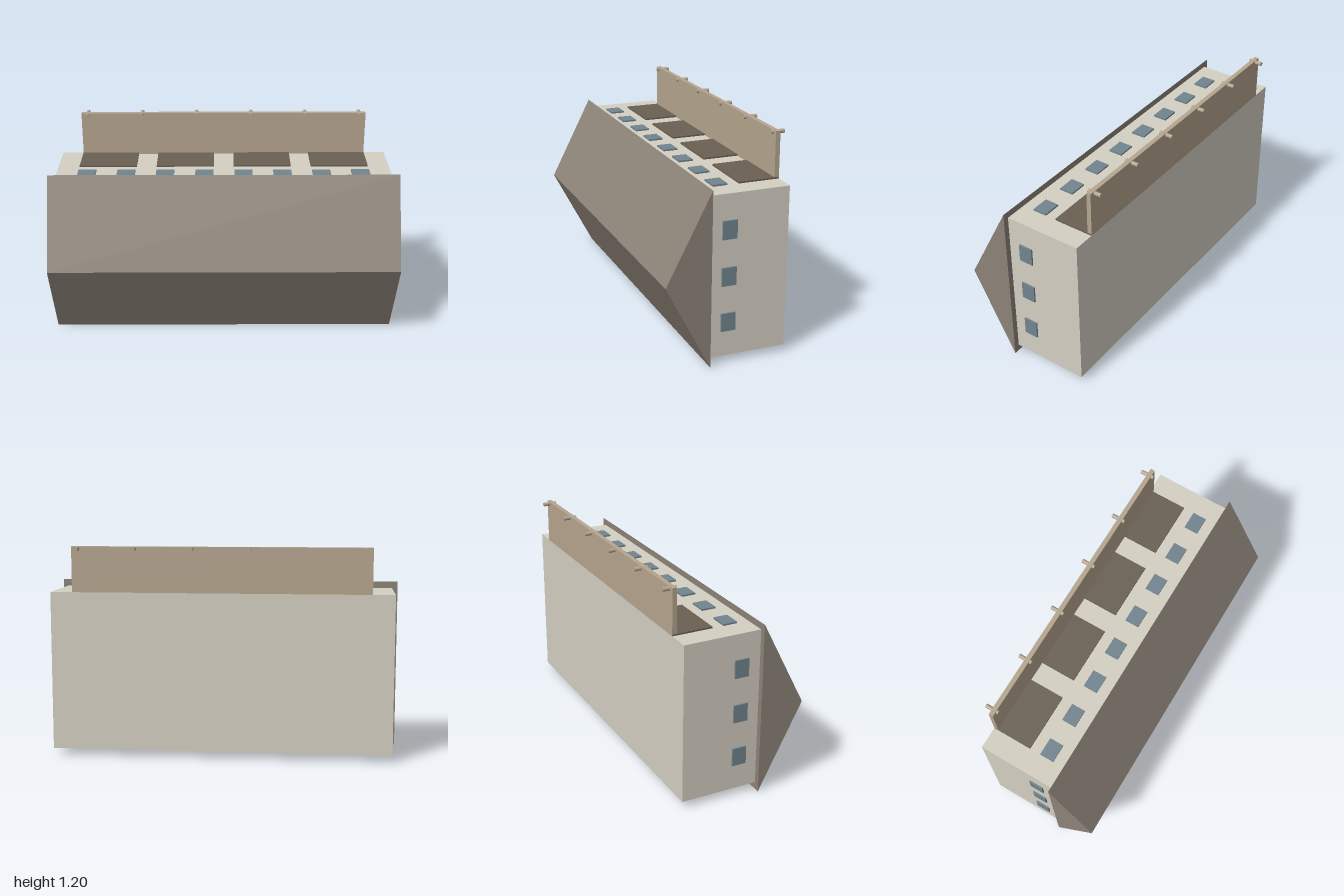
import * as THREE from 'three';

const mat = (name, color) => {
  const m = new THREE.MeshStandardMaterial({ color });
  m.name = name;
  return m;
};

export function createModel() {
  const wall = mat('wall plaster', 0xd4cfc2);
  const roofing = mat('roof brown', 0x8d8378);
  const glass = mat('window blue grey', 0x71848e);
  const doorMat = mat('door dark brown', 0x6a6153);
  const timber = mat('canopy tan', 0xb5a58e);

  const model = new THREE.Group();
  model.name = 'building';

  const add = (name, geometry, material) => {
    const mesh = new THREE.Mesh(geometry, material);
    mesh.name = name;
    model.add(mesh);
    return mesh;
  };

  // Box given by its minimum and maximum along each axis
  const box = (name, material, [x0, x1], [y0, y1], [z0, z1]) =>
    add(name, new THREE.BoxGeometry(x1 - x0, y1 - y0, z1 - z0), material)
      .position.set((x0 + x1) / 2, (y0 + y1) / 2, (z0 + z1) / 2);

  // Main block
  const top = 0.942, side = 0.967;
  box('walls', wall, [-side, side], [0.04, top], [-0.328, 0.117]);

  // Gabled roof: a triangular prism whose ridge points forward
  const gable = new THREE.Shape([
    new THREE.Vector2(-0.117, 0),
    new THREE.Vector2(-0.117, 0.98),
    new THREE.Vector2(-0.37, 0.49),
  ]);
  const roof = new THREE.ExtrudeGeometry(gable, { depth: 2, bevelEnabled: false });
  roof.translate(0, 0, -1).rotateY(Math.PI / 2);
  add('roof', roof, roofing);

  // Row of windows along the upper face
  for (let i = 0; i < 8; i++) {
    const x = (i - 3.5) * 0.2257;
    box('upperWindow', glass, [x - 0.052, x + 0.052], [top, top + 0.009], [-0.034, 0.048]);
  }

  // Three windows on each end
  for (const s of [-1, 1]) {
    for (const y of [0.234, 0.491, 0.748]) {
      const xs = s > 0 ? [side, side + 0.009] : [-side - 0.009, -side];
      box('endWindow', glass, xs, [y - 0.051, y + 0.051], [-0.034, 0.048]);
    }
  }

  // Four wide loading doors
  for (let i = 0; i < 4; i++) {
    const x = (i - 1.5) * 0.4505;
    box('loadingDoor', doorMat, [x - 0.167, x + 0.167], [top, top + 0.009], [-0.326, -0.098]);
  }

  // Canopy board with short round pegs through its free edge
  box('canopy', timber, [-0.842, 0.842], [top, 1.2], [-0.329, -0.303]);
  for (let i = 0; i < 6; i++) {
    const peg = new THREE.CylinderGeometry(0.0115, 0.0115, 0.078, 12).rotateX(Math.PI / 2);
    add('canopyPeg', peg, timber).position.set((i - 2.5) * 0.3225, 1.188, -0.329);
  }

  return model;
}
